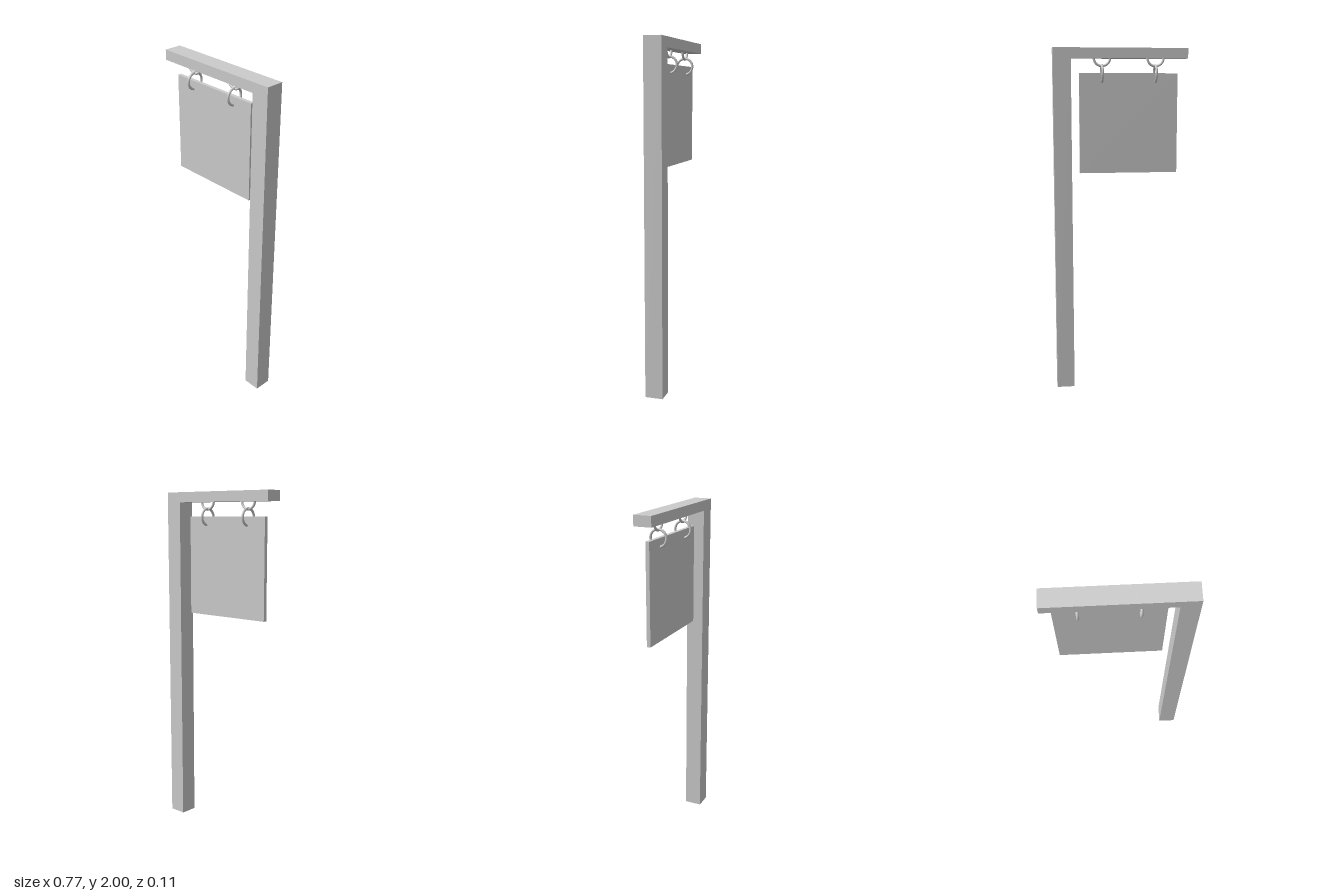
import * as THREE from 'three';

const grey = new THREE.MeshStandardMaterial({ color: 0xcccccc });

function addMesh(parent, name, geometry, x, y, z) {
  const mesh = new THREE.Mesh(geometry, grey);
  mesh.name = name;
  mesh.position.set(x, y, z);
  parent.add(mesh);
  return mesh;
}

export function createModel() {
  const group = new THREE.Group();
  group.name = 'hangingSign';

  // Post and arm: one L-shaped outline with a square-section post
  const depth = 0.102;
  const outline = new THREE.Shape([
    [0.283, 0], [0.385, 0], [0.385, 2], [-0.385, 2], [-0.385, 1.942], [0.283, 1.942],
  ].map(([x, y]) => new THREE.Vector2(x, y)));
  const frame = new THREE.ExtrudeGeometry(outline, { depth, bevelEnabled: false });
  addMesh(group, 'postAndArm', frame, 0, 0, -depth / 2);

  // Board
  addMesh(group, 'signBoard', new THREE.BoxGeometry(0.568, 0.57, 0.022), -0.049, 1.575, 0);

  // Two pairs of linked rings: one through the arm, one through the board
  const ring = new THREE.TorusGeometry(0.047, 0.007, 12, 32);
  for (const x of [-0.205, 0.104]) {
    const link = new THREE.Group();
    link.name = 'ringLink';
    addMesh(link, 'armRing', ring, x, 1.947, 0);
    addMesh(link, 'boardRing', ring, x, 1.858, 0).rotation.y = Math.PI / 2;
    group.add(link);
  }

  return group;
}
